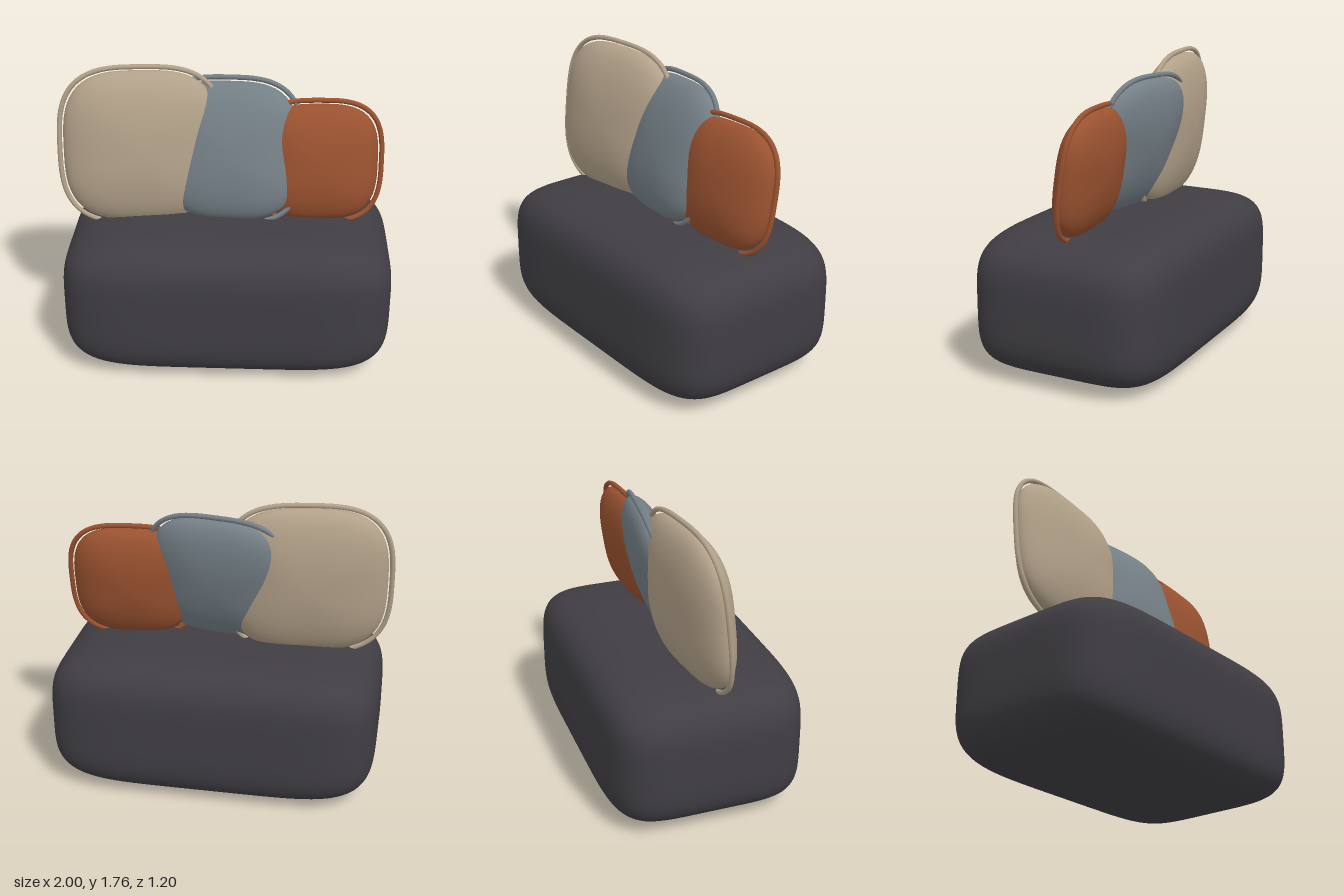
import * as THREE from 'three';
import { mergeVertices } from 'three/addons/utils/BufferGeometryUtils.js';

const material = (name, color) => {
  const m = new THREE.MeshStandardMaterial({ color });
  m.name = name;
  return m;
};

const part = (name, geometry, mat) => {
  const mesh = new THREE.Mesh(geometry, mat);
  mesh.name = name;
  return mesh;
};

// Move every vertex by a rule, weld the seams and smooth the normals
function reshape(geometry, rule) {
  geometry.deleteAttribute('uv');
  geometry.deleteAttribute('normal');
  const pos = geometry.attributes.position;
  const v = new THREE.Vector3();
  for (let i = 0; i < pos.count; i++) {
    v.fromBufferAttribute(pos, i);
    rule(v);
    pos.setXYZ(i, v.x, v.y, v.z);
  }
  const welded = mergeVertices(geometry, 1e-5);
  welded.computeVertexNormals();
  return welded;
}

const norm = (a, b, p) => Math.pow(Math.abs(a) ** p + Math.abs(b) ** p, 1 / p);

// Soft block: a cube pushed out to a rounded box shape
function softBlock(hx, hy, hz) {
  return reshape(new THREE.BoxGeometry(2, 2, 2, 36, 36, 36), (v) => {
    v.divideScalar(norm(norm(v.x, v.z, 5.5), v.y, 4.4));
    v.set(v.x * hx, v.y * hy, v.z * hz);
  });
}

const OUTLINE = 3.1; // squareness of the cushion outline
const CORD = 0.015;

// Plump pillow with a rounded square outline
function pillow(half, depth) {
  const ball = new THREE.SphereGeometry(1, 80, 40).rotateX(Math.PI / 2);
  return reshape(ball, (v) => {
    const rho = Math.hypot(v.x, v.y);
    const k = rho > 1e-6 ? (half * rho) / norm(v.x, v.y, OUTLINE) : 0;
    v.set(v.x * k, v.y * k, v.z * depth);
  });
}

// Cord running around the cushion edge
function piping(half) {
  const points = [];
  for (let i = 0; i < 64; i++) {
    const a = (i / 64) * Math.PI * 2;
    const c = Math.cos(a), s = Math.sin(a);
    const r = half / norm(c, s, OUTLINE);
    points.push(new THREE.Vector3(c * r, s * r, 0));
  }
  const path = new THREE.CatmullRomCurve3(points, true);
  return new THREE.TubeGeometry(path, 128, CORD, 8, true);
}

export function createModel() {
  const model = new THREE.Group();
  model.name = 'ottomanWithCushions';

  // Upholstered base
  const base = part('base', softBlock(0.98, 0.432, 0.6), material('charcoalFabric', 0x403e43));
  base.position.set(0.02, 0.436, 0);
  model.add(base);

  // Cushions, leaning back and overlapping in a row
  const cushions = [
    { name: 'largeCushion', mat: material('tanFabric', 0xb2a189), half: 0.5, depth: 0.155, at: [-0.5, 1.27, -0.03], lean: 0.11, yaw: 0.1 },
    { name: 'middleCushion', mat: material('greyFabric', 0x747f86), half: 0.45, depth: 0.14, at: [0.02, 1.25, -0.04], lean: 0.27, yaw: -0.11 },
    { name: 'smallCushion', mat: material('rustFabric', 0x9a5230), half: 0.39, depth: 0.135, at: [0.55, 1.19, -0.03], lean: 0.15, yaw: 0.06 },
  ];
  for (const { name, mat, half, depth, at, lean, yaw } of cushions) {
    const cushion = new THREE.Group();
    cushion.name = name;
    cushion.add(part(name + 'Pillow', pillow(half - 0.037, depth), mat));
    cushion.add(part(name + 'Piping', piping(half - CORD), mat));
    cushion.position.set(...at);
    cushion.rotation.set(-lean, yaw, 0);
    model.add(cushion);
  }
  return model;
}
